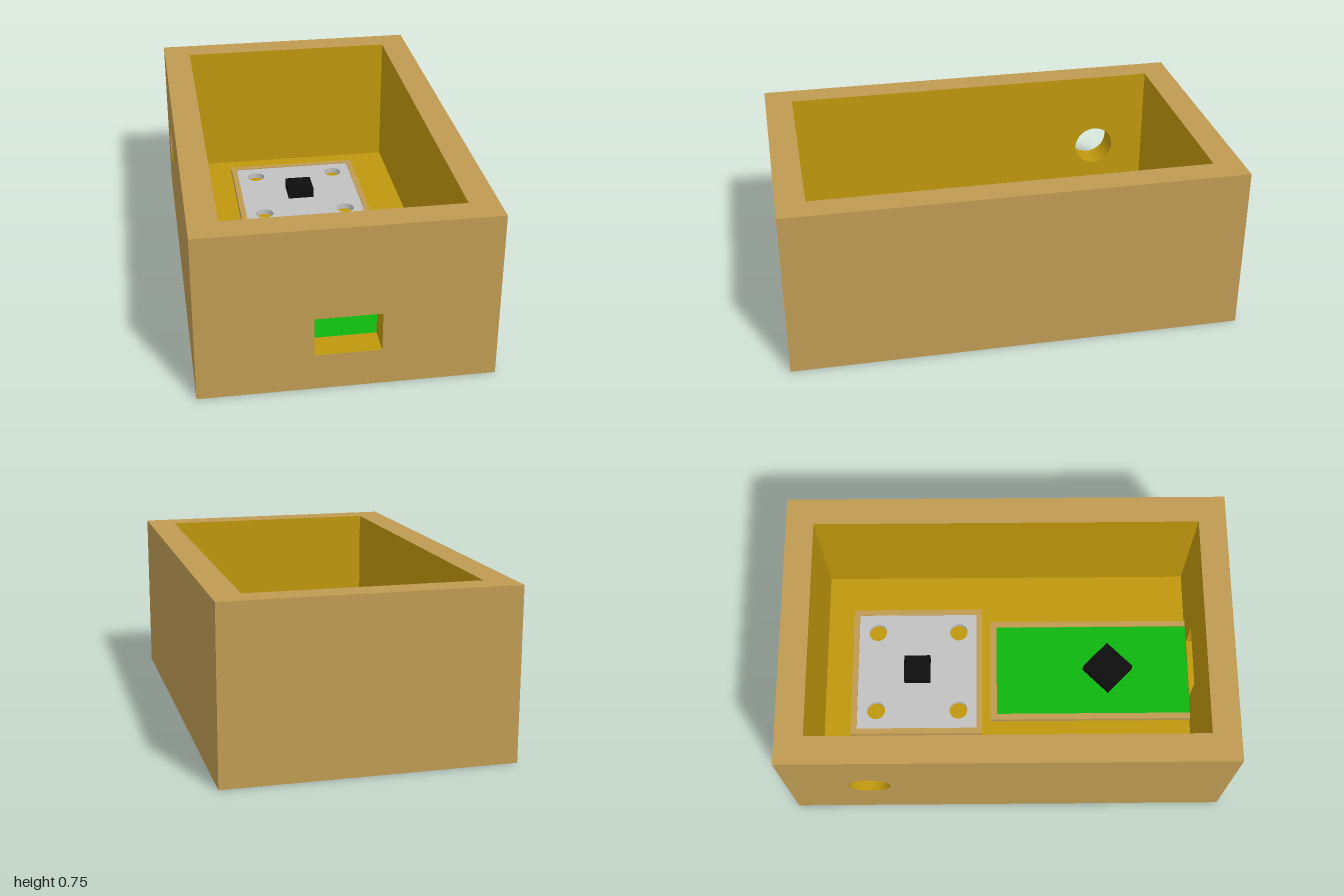
import * as THREE from 'three';

const mat = (name, color, side = THREE.FrontSide) => {
  const m = new THREE.MeshStandardMaterial({ color, side });
  m.name = name;
  return m;
};

export function createModel() {
  const tan = mat('tan', 0xbf9b53);
  const yellow = mat('yellow', 0xbf970d, THREE.DoubleSide);
  const silver = mat('silver', 0xc1c1c1);
  const green = mat('green', 0x0db50f);
  const black = mat('black', 0x0e0e0e);

  const root = new THREE.Group();
  root.name = 'electronicsBox';

  const X = 0.625, Z = 1, H = 0.75, T = 0.125, FLOOR = 0.125;
  const add = (name, geo, material, pos = [0, 0, 0], rot = [0, 0, 0], parent = root) => {
    const m = new THREE.Mesh(geo, material);
    m.name = name;
    m.position.set(...pos);
    m.rotation.set(...rot);
    parent.add(m);
    return m;
  };
  const rect = (x0, y0, x1, y1, C = THREE.Shape) => new C([
    new THREE.Vector2(x0, y0), new THREE.Vector2(x1, y0),
    new THREE.Vector2(x1, y1), new THREE.Vector2(x0, y1)]);
  const circle = (x, y, r) => new THREE.Path().absarc(x, y, r, 0, Math.PI * 2, true);
  const panel = (x0, y0, x1, y1, ...holes) => {
    const s = rect(x0, y0, x1, y1);
    s.holes.push(...holes);
    return new THREE.ShapeGeometry(s, 24);
  };

  // Openings: front window and round cable hole in the right wall
  const win = { x: 0.14, y0: 0.165, y1: 0.34 };
  const cable = { z: -0.625, y: 0.375, r: 0.094 };
  const winHole = () => rect(-win.x, win.y0, win.x, win.y1, THREE.Path);
  const Q = Math.PI / 2, ix = X - T, iz = Z - T;

  // Outer faces
  add('frontOuter', panel(-X, 0, X, H, winHole()), tan, [0, 0, Z]);
  add('backOuter', panel(-X, 0, X, H), tan, [0, 0, -Z], [0, 2 * Q, 0]);
  add('leftOuter', panel(-Z, 0, Z, H), tan, [X, 0, 0], [0, Q, 0]);
  add('rightOuter', panel(-Z, 0, Z, H, circle(cable.z, cable.y, cable.r)), tan, [-X, 0, 0], [0, -Q, 0]);
  add('underside', panel(-X, -Z, X, Z), tan, [0, 0, 0], [Q, 0, 0]);
  add('rim', panel(-X, -Z, X, Z, rect(-ix, -iz, ix, iz, THREE.Path)), tan, [0, H, 0], [-Q, 0, 0]);

  // Inner faces
  add('frontInner', panel(-ix, FLOOR, ix, H, winHole()), yellow, [0, 0, iz], [0, 2 * Q, 0]);
  add('backInner', panel(-ix, FLOOR, ix, H), yellow, [0, 0, -iz]);
  add('leftInner', panel(-iz, FLOOR, iz, H), yellow, [ix, 0, 0], [0, -Q, 0]);
  add('rightInner', panel(-iz, FLOOR, iz, H, circle(-cable.z, cable.y, cable.r)), yellow, [-ix, 0, 0], [0, Q, 0]);
  add('floor', panel(-ix, -iz, ix, iz), yellow, [0, FLOOR, 0], [-Q, 0, 0]);

  // Linings of the openings
  const wz = Z - T / 2, wh = win.y1 - win.y0;
  add('windowSill', new THREE.PlaneGeometry(2 * win.x, T), yellow, [0, win.y0, wz], [-Q, 0, 0]);
  add('windowLintel', new THREE.PlaneGeometry(2 * win.x, T), yellow, [0, win.y1, wz], [Q, 0, 0]);
  for (const s of [-1, 1]) {
    add('windowJamb', new THREE.PlaneGeometry(T, wh), yellow,
      [s * win.x, win.y0 + wh / 2, wz], [0, -s * Q, 0]);
  }
  add('cableHoleLining', new THREE.CylinderGeometry(cable.r, cable.r, T, 48, 1, true), yellow,
    [-X + T / 2, cable.y, cable.z], [0, 0, Q]);

  // Flat parts drawn in plan (x, -z) and raised from the floor
  const slab = (shape, h) => new THREE.ExtrudeGeometry(shape, { depth: h, bevelEnabled: false, curveSegments: 16 });
  const RIM = 0.031, TOP = 0.027;

  // Sensor plate with four screw holes inside a raised frame
  const plate = new THREE.Group();
  plate.name = 'sensorPlate';
  root.add(plate);
  const frame = rect(-0.317, 0.122, 0.317, 0.748);
  frame.holes.push(rect(-0.29, 0.147, 0.29, 0.72, THREE.Path));
  add('plateFrame', slab(frame, RIM), tan, [0, FLOOR, 0], [-Q, 0, 0], plate);
  const board = rect(-0.29, 0.147, 0.29, 0.72);
  for (const x of [-0.2, 0.2]) {
    for (const y of [0.235, 0.63]) board.holes.push(circle(x, y, 0.043));
  }
  add('plateBoard', slab(board, TOP), silver, [0, FLOOR, 0], [-Q, 0, 0], plate);
  add('plateChip', new THREE.BoxGeometry(0.125, 0.05, 0.125), black, [0, 0.177, -0.433], [0, 0, 0], plate);

  // Controller board in a frame open towards the front wall
  const ctrl = new THREE.Group();
  ctrl.name = 'controllerBoard';
  root.add(ctrl);
  const u = new THREE.Shape([[-0.25, -iz], [-0.222, -iz], [-0.222, 0.05], [0.222, 0.05],
    [0.222, -iz], [0.25, -iz], [0.25, 0.08], [-0.25, 0.08]].map(p => new THREE.Vector2(...p)));
  add('controllerFrame', slab(u, RIM), tan, [0, FLOOR, 0], [-Q, 0, 0], ctrl);
  add('controllerPlate', slab(rect(-0.222, -iz, 0.222, 0.05), TOP), green, [0, FLOOR, 0], [-Q, 0, 0], ctrl);
  add('controllerChip', new THREE.BoxGeometry(0.168, 0.055, 0.168), black, [0, 0.1775, 0.485], [0, Math.PI / 4, 0], ctrl);

  return root;
}
